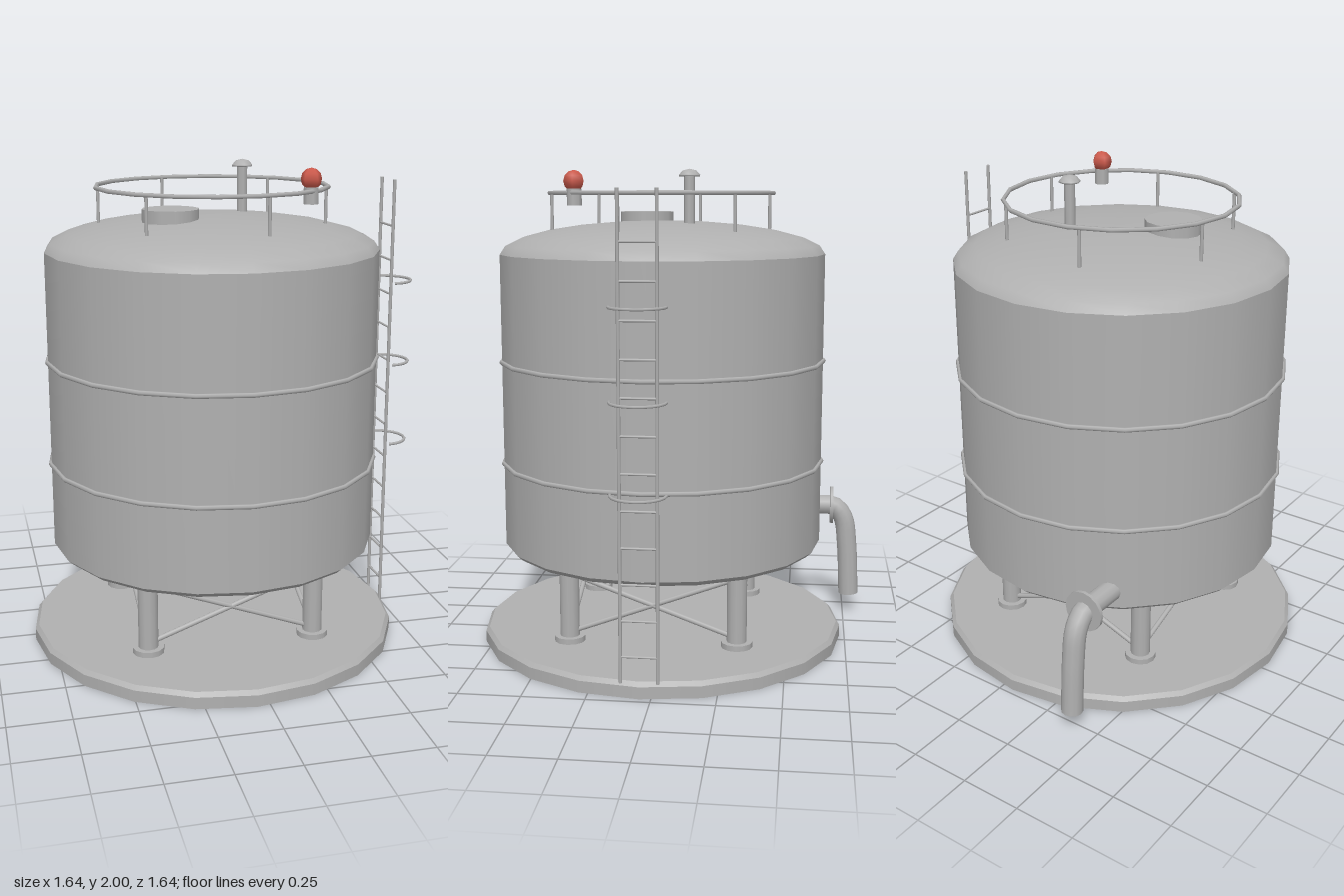
import * as THREE from 'three';

const CX = -0.05, CZ = 0.047; // tank axis
const V = (x, y, z) => new THREE.Vector3(x, y, z);

export function createModel() {
  const model = new THREE.Group();
  model.name = 'storageTank';
  const steel = new THREE.MeshStandardMaterial({ name: 'grey steel', color: 0xb0b0b0 });
  const red = new THREE.MeshStandardMaterial({ name: 'beacon red', color: 0xcc5a4c });

  const add = (name, geometry, x = CX, y = 0, z = CZ, material = steel) => {
    const mesh = new THREE.Mesh(geometry, material);
    mesh.name = name;
    mesh.position.set(x, y, z);
    model.add(mesh);
    return mesh;
  };
  // Upright cylinder from y0 to y1
  const post = (name, x, z, y0, y1, r, sides = 12) =>
    add(name, new THREE.CylinderGeometry(r, r, y1 - y0, sides), x, (y0 + y1) / 2, z);
  // Straight rod between two points
  const rod = (name, a, b, r, sides = 8) => {
    const dir = b.clone().sub(a);
    const mesh = add(name, new THREE.CylinderGeometry(r, r, dir.length(), sides));
    mesh.position.copy(a).add(b).multiplyScalar(0.5);
    mesh.quaternion.setFromUnitVectors(V(0, 1, 0), dir.normalize());
  };
  // Horizontal ring
  const ring = (name, y, r, tube, segments) =>
    add(name, new THREE.TorusGeometry(r, tube, 6, segments).rotateX(Math.PI / 2), CX, y);
  const lathe = (name, pts, sides = 20) =>
    add(name, new THREE.LatheGeometry(pts.map(p => new THREE.Vector2(...p)), sides));

  // Base slab with a narrow chamfer
  post('baseSlab', CX, CZ, 0, 0.048, 0.775, 20);
  add('baseChamfer', new THREE.CylinderGeometry(0.76, 0.775, 0.017, 20), CX, 0.0565);

  // Tank shell with shallow elliptical ends
  const R = 0.68, Y0 = 0.432, Y1 = 1.655, STEPS = 6;
  const bottom = [], dome = [];
  for (let i = 0; i <= STEPS; i++) {
    const a = (i / STEPS) * Math.PI / 2;
    bottom.push([R * Math.sin(a), Y0 - 0.082 * Math.cos(a)]);
    dome.push([R * Math.cos(a), Y1 + 0.137 * Math.sin(a)]);
  }
  lathe('tankBottom', bottom);
  lathe('tankWall', [[R, Y0], [R, Y1]]);
  lathe('tankDome', dome);
  for (const y of [0.78, 1.21]) ring('tankHoop', y, R + 0.002, 0.01, 20);

  // Four legs with foot plates, cross-braced on every side
  const L = 0.348;
  const corners = [[1, 1], [-1, 1], [-1, -1], [1, -1]].map(([x, z]) => [CX + x * L, CZ + z * L]);
  corners.forEach(([x, z], i) => {
    post('leg', x, z, 0.06, 0.42, 0.041);
    post('footPlate', x, z, 0.064, 0.088, 0.065);
    const [nx, nz] = corners[(i + 1) % 4];
    rod('brace', V(x, 0.1, z), V(nx, 0.355, nz), 0.011);
    rod('brace', V(x, 0.355, z), V(nx, 0.1, nz), 0.011);
  });

  // Roof handrail
  ring('handrail', 1.905, 0.469, 0.009, 18);
  for (let i = 0; i < 6; i++) {
    const a = Math.PI / 12 + i * Math.PI / 3;
    post('handrailPost', CX + 0.46 * Math.cos(a), CZ + 0.46 * Math.sin(a), 1.745, 1.905, 0.007, 6);
  }

  // Manhole and mushroom vent on the roof
  post('manhole', -0.237, 0.137, 1.74, 1.827, 0.115, 12);
  post('ventPipe', 0.11, -0.083, 1.74, 1.975, 0.022, 8);
  const cap = [[0, 0], [0.043, 0], [0.043, 0.006], [0.028, 0.023], [0, 0.03]];
  lathe('ventCap', cap, 8).position.set(0.11, 1.97, -0.083);

  // Warning beacon
  post('beaconBase', 0.27, 0.358, 1.855, 1.92, 0.03, 8);
  add('beaconLamp', new THREE.SphereGeometry(0.043, 5, 6).rotateY(Math.PI), 0.27, 1.95, 0.358, red);

  // Ladder with half-round cage hoops
  const LX = 0.705, HALF = 0.072;
  for (const s of [-1, 1]) post('ladderRail', LX, CZ + s * HALF, 0.055, 1.92, 0.007, 6);
  for (let i = 0; i < 12; i++) {
    const y = 0.16 + i * 0.1427;
    rod('ladderRung', V(LX, y, CZ - HALF), V(LX, y, CZ + HALF), 0.005, 6);
  }
  const hoop = new THREE.TorusGeometry(0.107, 0.006, 6, 10, Math.PI)
    .rotateZ(-Math.PI / 2).rotateX(Math.PI / 2);
  for (const y of [0.795, 1.145, 1.495]) add('cageHoop', hoop, 0.707, y);

  // Outlet pipe: flanged stub and a bend down to the ground
  const PX = -0.395, PY = 0.5;
  rod('outletStub', V(PX, PY, -0.5), V(PX, PY, -0.69), 0.044, 12);
  rod('outletFlange', V(PX, PY, -0.683), V(PX, PY, -0.697), 0.084, 16);
  const path = new THREE.CatmullRomCurve3([
    V(PX, PY, -0.68), V(PX, 0.49, -0.71), V(PX, 0.44, -0.745), V(PX, 0.32, -0.763), V(PX, 0.085, -0.775),
  ]);
  add('outletBend', new THREE.TubeGeometry(path, 16, 0.044, 12), 0, 0, 0);
  add('outletEnd', new THREE.CircleGeometry(0.044, 12).rotateX(Math.PI / 2), PX, 0.086, -0.775);

  return model;
}
